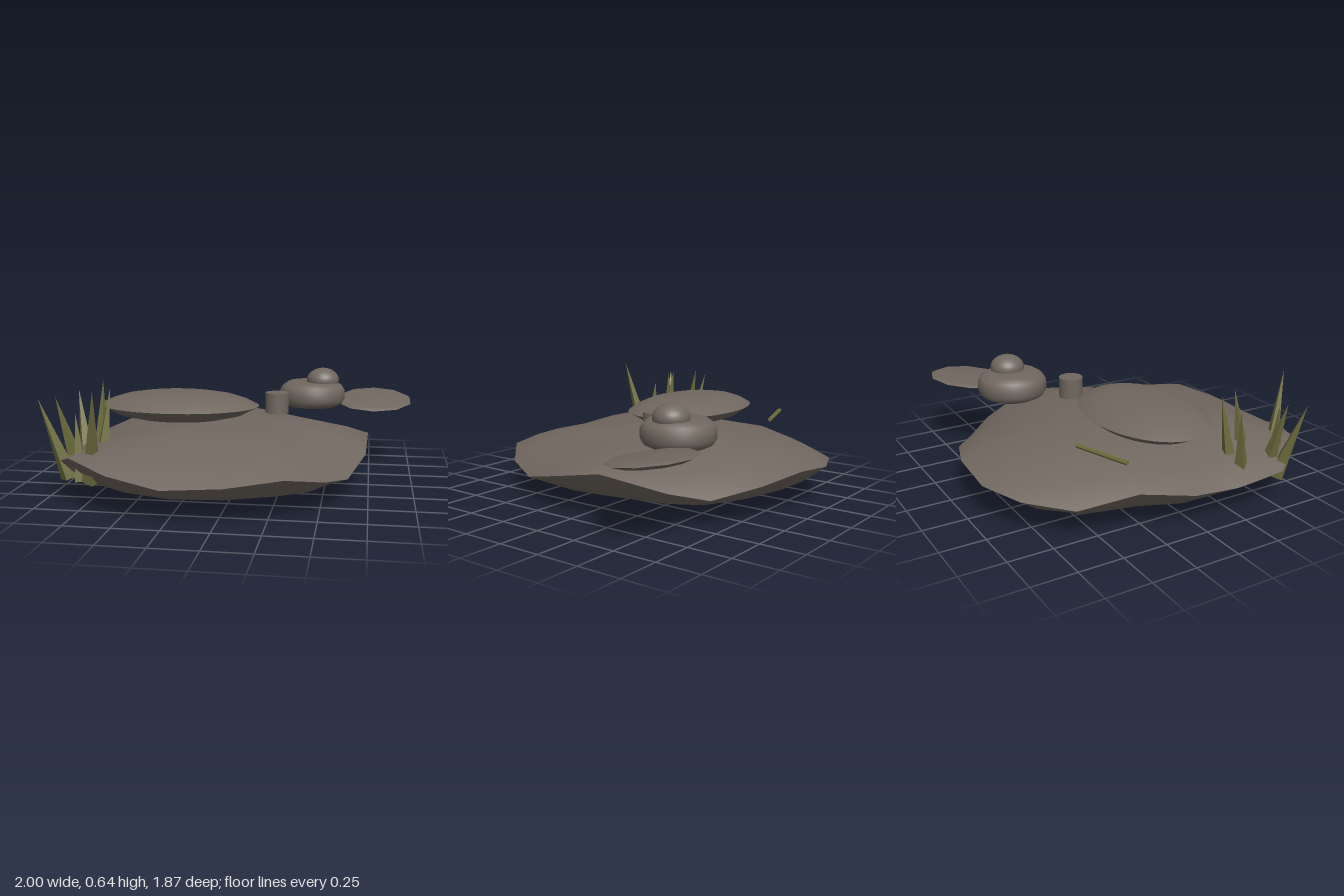
import * as THREE from 'three';

export function createModel() {
  const model = new THREE.Group();
  const stone = new THREE.MeshStandardMaterial({ color: 0x70675f });
  stone.name = 'stone';
  const reed = new THREE.MeshStandardMaterial({ color: 0x6d6d3e, flatShading: true });
  reed.name = 'reed green';

  const add = (name, geometry, material, x = 0, y = 0, z = 0, parent = model) => {
    const mesh = new THREE.Mesh(geometry, material);
    mesh.name = name;
    mesh.position.set(x, y, z);
    parent.add(mesh);
    return mesh;
  };
  // Profiles run from the bottom up
  const lathe = (points, sides) =>
    new THREE.LatheGeometry(points.map(([r, y]) => new THREE.Vector2(r, y)), sides);

  // Main boulder: irregular wavy rim (x, y, z), closed above and below by shrinking rings
  const rim = [
    [-0.33, 0.21, -0.94], [-0.04, 0.24, -0.94], [0.23, 0.2, -0.85], [0.46, 0.15, -0.69],
    [0.6, 0.19, -0.52], [0.74, 0.27, -0.19], [0.73, 0.21, 0.12], [0.64, 0.14, 0.42],
    [0.53, 0.18, 0.65], [0.34, 0.23, 0.83], [0.05, 0.2, 0.92], [-0.27, 0.18, 0.93],
    [-0.56, 0.23, 0.88], [-0.8, 0.28, 0.74], [-0.96, 0.2, 0.52], [-0.95, 0.17, 0.23],
    [-0.96, 0.2, -0.05], [-0.87, 0.24, -0.33], [-0.77, 0.18, -0.63], [-0.58, 0.2, -0.84],
  ];
  const cap = (rings, up) => {
    const n = rim.length, pos = [], index = [];
    for (const [scale, height, wave] of rings) {
      for (const [x, y, z] of rim) {
        pos.push(-0.11 + (x + 0.11) * scale, height + (y - 0.2) * wave, z * scale);
      }
    }
    for (let r = 0; r < rings.length - 1; r++) {
      for (let i = 0; i < n; i++) {
        const a = r * n + i, b = r * n + (i + 1) % n, c = a + n, d = b + n;
        if (up) index.push(a, c, b, b, c, d);
        else index.push(a, b, c, b, d, c);
      }
    }
    const g = new THREE.BufferGeometry();
    g.setAttribute('position', new THREE.Float32BufferAttribute(pos, 3));
    g.setIndex(index);
    g.computeVertexNormals();
    return g;
  };
  add('boulderTop', cap([[1, 0.2, 1], [0.85, 0.277, 0.5], [0.55, 0.345, 0.1], [0.25, 0.367, 0], [0.01, 0.37, 0]], true), stone);
  add('boulderUnderside', cap([[1, 0.2, 1], [0.86, 0.105, 0.25], [0.5, 0.038, 0.05], [0.01, 0, 0]], false), stone);

  // Oval slab with a sharp rim
  const slab = new THREE.Group();
  slab.name = 'ovalSlab';
  slab.position.set(-0.37, 0.45, 0.01);
  slab.scale.set(0.475, 1, 0.32);
  model.add(slab);
  add('slabUnderside', lathe([[0, -0.08], [0.55, -0.077], [0.8, -0.05], [1, 0]], 48), stone, 0, 0, 0, slab);
  add('slabTop', lathe([[1, 0], [0.87, 0.03], [0.7, 0.055], [0.5, 0.07], [0.25, 0.078], [0, 0.08]], 48), stone, 0, 0, 0, slab);

  // Stacked round stones
  add('roundStone', lathe([[0, 0.387], [0.15, 0.388], [0.185, 0.405], [0.203, 0.435], [0.203, 0.485],
    [0.185, 0.515], [0.15, 0.538], [0, 0.54]], 40), stone, 0.385, 0, -0.435);
  add('topPebble', new THREE.SphereGeometry(0.1, 28, 18), stone, 0.45, 0.55, -0.435).scale.y = 0.75;

  // Upright stub
  add('stub', new THREE.CylinderGeometry(0.07, 0.07, 0.12, 28), stone, 0.195, 0.45, -0.14);

  // Tilted ten-sided flat stone
  const flat = new THREE.Group();
  flat.name = 'flatStone';
  flat.position.set(0.77, 0.41, -0.56);
  flat.rotation.x = 0.14;
  model.add(flat);
  add('flatStoneUnderside', lathe([[0, -0.026], [0.17, -0.024], [0.24, 0]], 10), stone, 0, 0, 0, flat);
  add('flatStoneTop', lathe([[0.24, 0], [0.215, 0.016], [0, 0.022]], 10), stone, 0, 0, 0, flat);

  // Tapered reeds, each placed from its base to its tip
  const reeds = [
    [-0.86, 0.13, 0.565, -1.0, 0.57, 0.62], [-0.81, 0.13, 0.52, -0.93, 0.57, 0.55],
    [-0.83, 0.14, 0.34, -0.9, 0.57, 0.26], [-0.76, 0.14, 0.33, -0.76, 0.62, 0.24],
    [-0.72, 0.14, 0.45, -0.67, 0.6, 0.4], [-0.71, 0.13, 0.64, -0.65, 0.64, 0.76],
    [-0.77, 0.13, 0.62, -0.8, 0.5, 0.61],
  ];
  const up = new THREE.Vector3(0, 1, 0);
  reeds.forEach(([x, y, z, tx, ty, tz], i) => {
    const base = new THREE.Vector3(x, y, z);
    const along = new THREE.Vector3(tx, ty, tz).sub(base);
    const length = along.length();
    const cone = new THREE.ConeGeometry(0.052, length, 4).rotateY(i * 0.7).translate(0, length / 2, 0);
    add('reed', cone, reed, x, y, z).quaternion.setFromUnitVectors(up, along.normalize());
  });

  // Fallen stalk
  add('fallenStalk', new THREE.CylinderGeometry(0.013, 0.013, 0.335, 6).rotateZ(Math.PI / 2),
    reed, -0.66, 0.4, -0.425).rotation.y = 0.33;

  return model;
}
